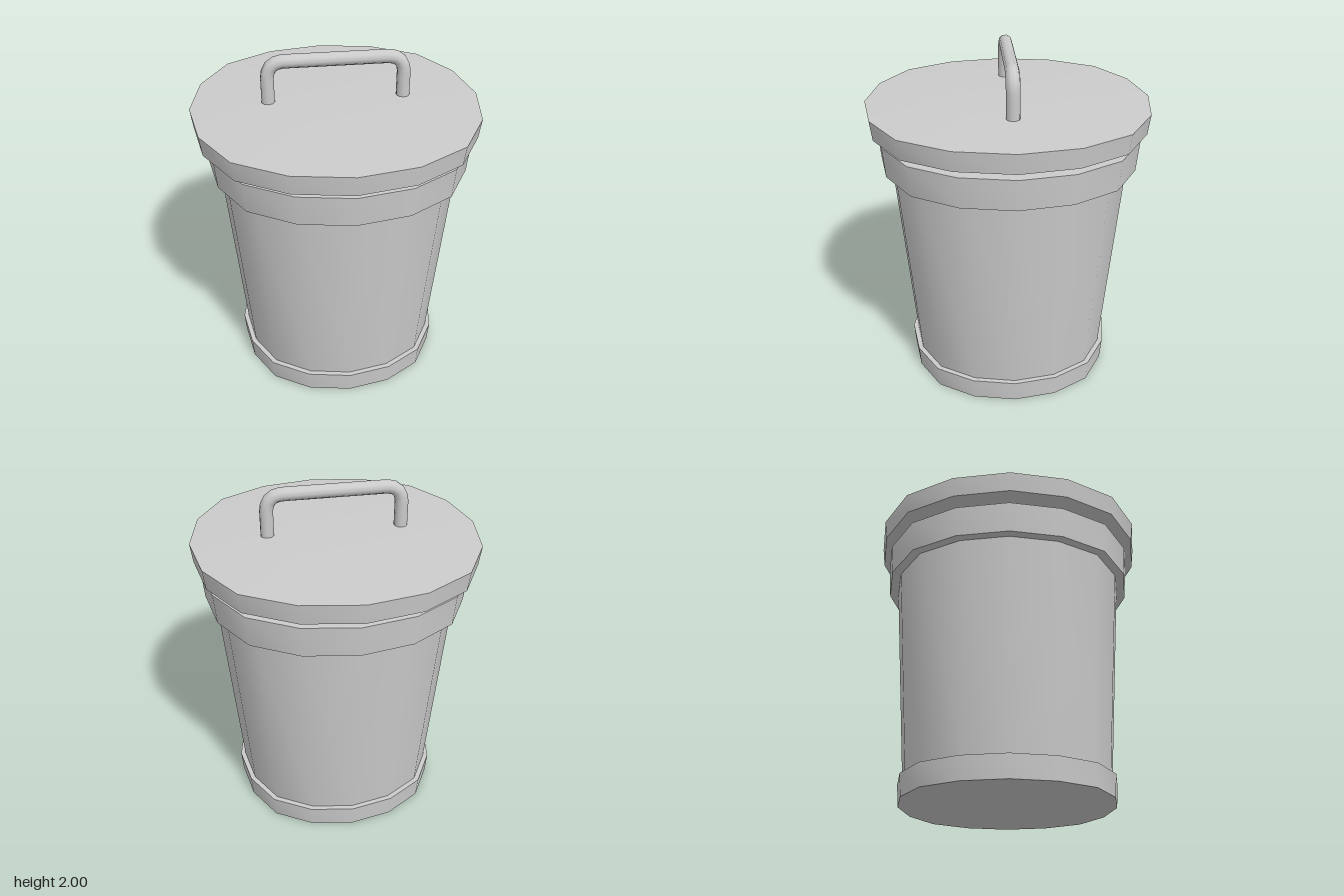
import * as THREE from 'three';
import { toCreasedNormals } from 'three/addons/utils/BufferGeometryUtils.js';

const material = new THREE.MeshStandardMaterial({ color: 0xcccccc });

// Sixteen-sided outline, slightly squarer than a circle: [radius factor, angle] for each quarter
const QUARTER = [[1, 0], [1.012, 0.402], [1.037, Math.PI / 4], [1.012, Math.PI / 2 - 0.402]];

// Turned part from a [radius, height] profile
function turned(name, profile) {
  const points = profile.map(([r, y]) => new THREE.Vector2(r, y));
  const geometry = new THREE.LatheGeometry(points, 16);
  const position = geometry.attributes.position;
  for (let i = 0; i < position.count; i++) {
    const side = Math.floor(i / points.length) % 16;
    const r = points[i % points.length].x;
    const [factor, angle] = QUARTER[side % 4];
    const a = angle + Math.floor(side / 4) * Math.PI / 2;
    position.setX(i, r * factor * Math.sin(a));
    position.setZ(i, r * factor * Math.cos(a));
  }
  const mesh = new THREE.Mesh(toCreasedNormals(geometry, 0.62), material);
  mesh.name = name;
  return mesh;
}

// Bent rod handle standing on the lid
function makeHandle() {
  const v = (x, y) => new THREE.Vector3(x, y, 0);
  const w = 0.386, top = 1.962, bend = 0.1;
  const path = new THREE.CurvePath();
  path.add(new THREE.LineCurve3(v(-w, 1.7), v(-w, top - bend)));
  path.add(new THREE.QuadraticBezierCurve3(v(-w, top - bend), v(-w, top), v(-w + bend, top)));
  path.add(new THREE.LineCurve3(v(-w + bend, top), v(w - bend, top)));
  path.add(new THREE.QuadraticBezierCurve3(v(w - bend, top), v(w, top), v(w, top - bend)));
  path.add(new THREE.LineCurve3(v(w, top - bend), v(w, 1.7)));
  const mesh = new THREE.Mesh(new THREE.TubeGeometry(path, 36, 0.039, 10), material);
  mesh.name = 'handle';
  mesh.position.set(0.003, 0, -0.004);
  return mesh;
}

export function createModel() {
  const model = new THREE.Group();
  model.name = 'dustbin';

  // Hollow bin: base band, tapered wall, rim band, then down the inside
  const bin = turned('bin', [
    [0, 0], [0.625, 0], [0.635, 0.13], [0.606, 0.13],
    [0.704, 1.365], [0.757, 1.365], [0.772, 1.545],
    [0.68, 1.545], [0.57, 0.06], [0, 0.06],
  ]);
  bin.position.set(0.01, 0, -0.004);

  // Lid hovering just above the rim, with a slightly raised top
  const lid = turned('lid', [[0, 1.59], [0.812, 1.59], [0.826, 1.705], [0.42, 1.723], [0, 1.73]]);

  model.add(bin, lid, makeHandle());
  return model;
}
